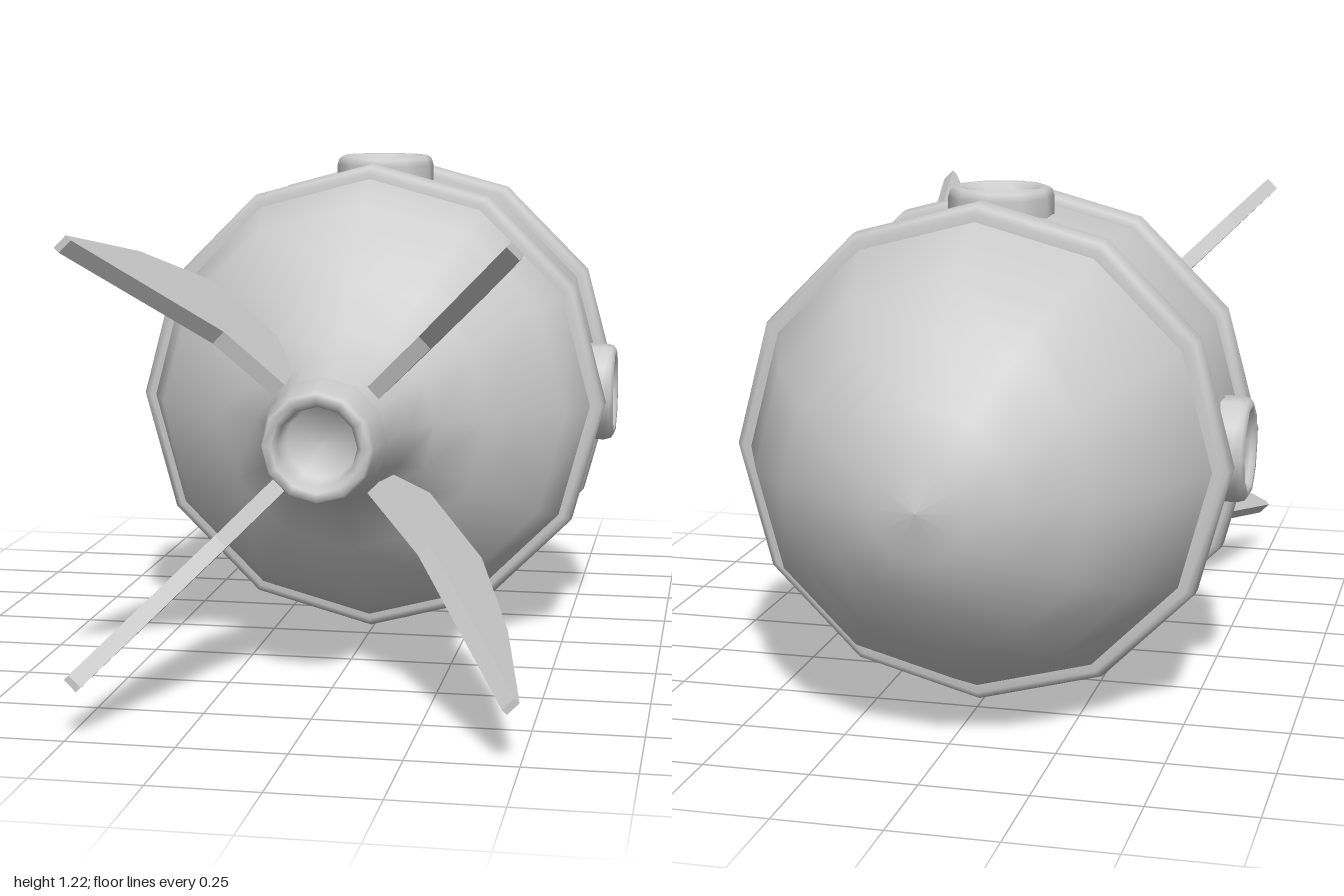
import * as THREE from 'three';

const AXIS_Y = 0.61; // height of the long axis
const mat = new THREE.MeshStandardMaterial({ color: 0xcccccc });

function mesh(name, geometry) {
  const m = new THREE.Mesh(geometry, mat);
  m.name = name;
  return m;
}

// Lathe from [radius, height] pairs
function lathe(points, sides) {
  return new THREE.LatheGeometry(points.map(([r, h]) => new THREE.Vector2(r, h)), sides);
}

// Lathe whose axis runs along z
const latheZ = (points, sides) => lathe(points, sides).rotateX(Math.PI / 2);

export function createModel() {
  const model = new THREE.Group();
  model.name = 'rocket';
  const ship = new THREE.Group();
  ship.name = 'ship';
  ship.position.y = AXIS_Y;
  model.add(ship);

  // Hull: rounded nose at -z, tapering to a neck at +z
  ship.add(mesh('hull', latheZ([
    [0, -1], [0.11, -0.98], [0.215, -0.935], [0.36, -0.83], [0.47, -0.7], [0.56, -0.49],
    [0.568, -0.4], [0.575, -0.25], [0.572, -0.1], [0.562, -0.01],
    [0.51, 0.11], [0.335, 0.236], [0.22, 0.325], [0.168, 0.42], [0.14, 0.54], [0.125, 0.6],
  ], 12)));

  // Rounded belts around the hull
  for (const [name, z] of [['frontBelt', -0.455], ['rearBelt', -0.055]]) {
    ship.add(mesh(name, latheZ([
      [0.54, z - 0.046], [0.575, z - 0.046], [0.59, z - 0.037], [0.597, z - 0.02],
      [0.597, z + 0.02], [0.59, z + 0.037], [0.575, z + 0.046], [0.54, z + 0.046],
    ], 12)));
  }

  // Exhaust nozzle with a hollow mouth
  ship.add(mesh('nozzle', latheZ([
    [0.1, 0.565], [0.14, 0.57], [0.147, 0.585], [0.131, 0.67], [0.124, 0.684],
    [0.105, 0.684], [0.092, 0.67], [0.084, 0.61], [0, 0.605],
  ], 12)));

  // Four portholes around the middle
  const porthole = lathe([
    [0.127, 0.52], [0.127, 0.585], [0.122, 0.602], [0.11, 0.61],
    [0.1, 0.608], [0.09, 0.597], [0.083, 0.582], [0, 0.576],
  ], 10);
  for (let i = 0; i < 4; i++) {
    const p = mesh('porthole' + (i + 1), porthole);
    p.rotation.z = i * Math.PI / 2;
    p.position.z = -0.255;
    ship.add(p);
  }

  // Four swept fins on the diagonals, drawn as radius against z
  const thickness = 0.038;
  const outline = [[0.155, 0.565], [0.17, 0.42], [0.265, 0.29], [0.46, 0.37],
    [0.595, 0.66], [0.685, 1], [0.67, 1], [0.335, 0.625]];
  const fin = new THREE.ExtrudeGeometry(
    new THREE.Shape(outline.map(([r, z]) => new THREE.Vector2(r, z))),
    { depth: thickness, bevelEnabled: false },
  ).translate(0, 0, -thickness / 2).rotateX(Math.PI / 2);
  for (let i = 0; i < 4; i++) {
    const f = mesh('fin' + (i + 1), fin);
    f.rotation.z = Math.PI / 4 + i * Math.PI / 2;
    ship.add(f);
  }

  return model;
}
